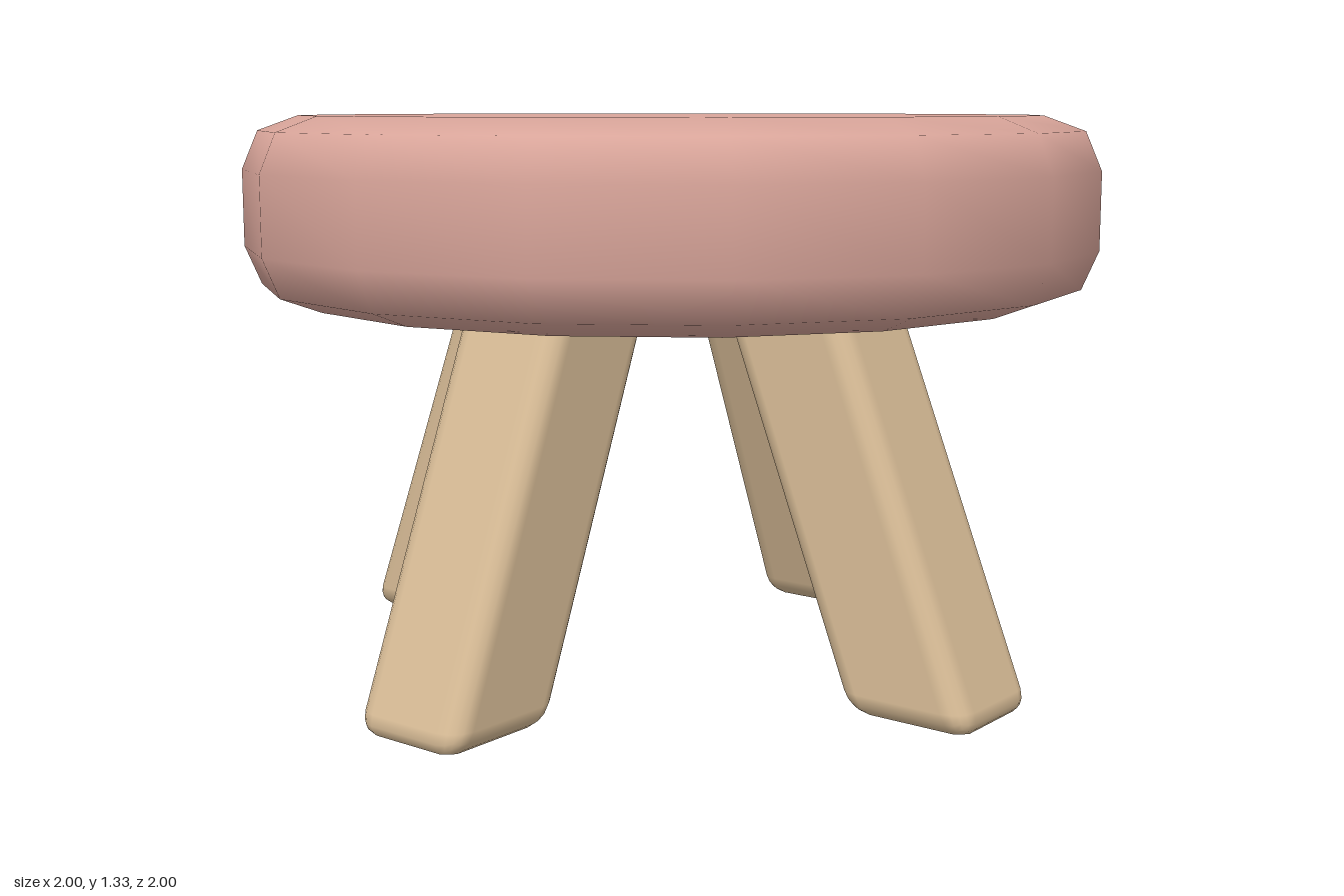
import * as THREE from 'three';
import { RoundedBoxGeometry } from 'three/addons/geometries/RoundedBoxGeometry.js';

const TURN = THREE.MathUtils.degToRad(9.2); // whole stool is turned slightly about y

export function createModel() {
  const stool = new THREE.Group();
  stool.name = 'stool';

  const cushionPink = new THREE.MeshStandardMaterial({ color: 0xd9a59a });
  cushionPink.name = 'cushionPink';
  const paleWood = new THREE.MeshStandardMaterial({ color: 0xd9bd97 });
  paleWood.name = 'paleWood';

  // Round seat with sixteen sides and softened rims
  const profile = [
    [0, 0.9], [0.88, 0.9], [0.975, 0.935], [1.013, 1.025],
    [1.013, 1.205], [0.975, 1.295], [0.88, 1.33], [0, 1.33],
  ].map(([r, y]) => new THREE.Vector2(r, y));
  const seat = new THREE.Mesh(new THREE.LatheGeometry(profile, 16), cushionPink);
  seat.name = 'seat';
  seat.rotation.y = TURN;
  stool.add(seat);

  // Splayed leg: a rounded post sheared outward so the foot stays level
  const height = 1.05, splay = 0.395, footRadius = 0.772;
  const legGeometry = new RoundedBoxGeometry(0.305, height, 0.325, 2, 0.055);
  legGeometry.translate(0, height / 2, 0);
  legGeometry.applyMatrix4(new THREE.Matrix4().set(
    1, 0, 0, 0,
    0, 1, 0, 0,
    0, -splay, 1, footRadius,
    0, 0, 0, 1,
  ));

  ['frontLeg', 'leftLeg', 'backLeg', 'rightLeg'].forEach((name, i) => {
    const leg = new THREE.Mesh(legGeometry, paleWood);
    leg.name = name;
    leg.rotation.y = TURN + i * Math.PI / 2;
    stool.add(leg);
  });

  return stool;
}
